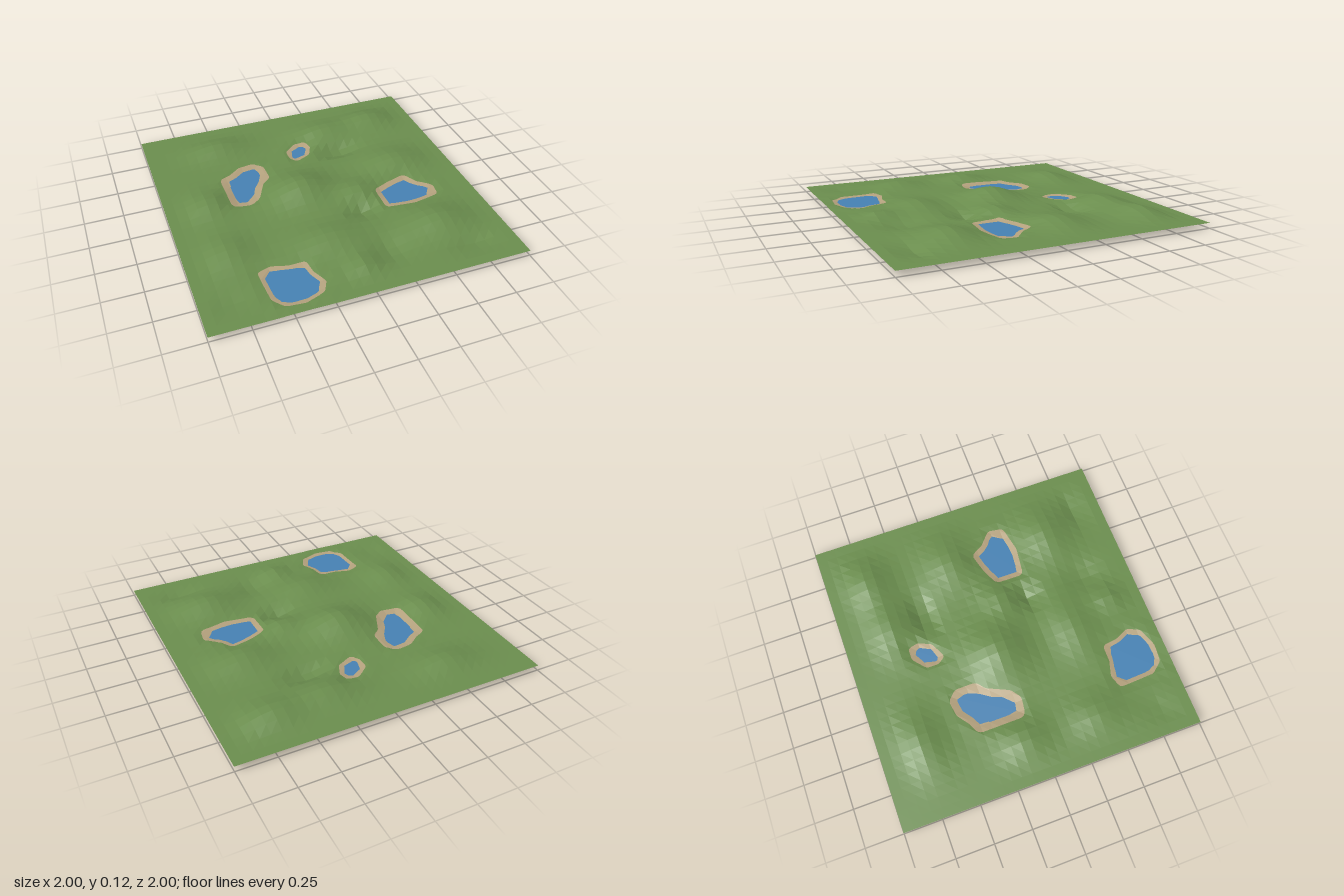
import * as THREE from 'three';

const BASE = 0.035, LEVEL = 0.028, CELLS = 30, SUB = 4;

// Each lake: width of its beach and its shoreline as [x, z] points
const LAKES = [
  { beach: 0.048, shore: [[-.40, -.41], [-.33, -.42], [-.30, -.39], [-.30, -.29], [-.35, -.25], [-.42, -.10], [-.46, -.07], [-.53, -.08], [-.53, -.33], [-.48, -.35]] },
  { beach: 0.027, shore: [[-.02, -.52], [.05, -.58], [.10, -.58], [.11, -.54], [.08, -.47], [0, -.43], [-.02, -.46]] },
  { beach: 0.036, shore: [[.40, .13], [.49, .09], [.60, .06], [.64, .13], [.72, .20], [.71, .26], [.56, .29], [.40, .27]] },
  { beach: 0.028, shore: [[-.58, .63], [-.52, .61], [-.42, .64], [-.33, .64], [-.32, .72], [-.28, .81], [-.31, .87], [-.42, .91], [-.52, .90], [-.57, .84]] },
];

// Hills and hollows: x, z, height, radius in x, radius in z
const HILLS = [
  [-.10, -.05, .085, .20, .19], [.30, -.68, .050, .20, .13], [.66, -.72, .058, .18, .14],
  [.62, -.15, .052, .20, .16], [.60, .55, .060, .20, .16], [-.10, .48, .048, .22, .15],
  [-.72, -.10, .046, .14, .16], [-.50, -.72, .048, .20, .13], [-.72, .40, .040, .14, .18],
  [.00, .78, .035, .10, .12], [.25, .08, .040, .14, .12],
  [.32, -.43, -.045, .13, .07], [.20, .27, -.040, .09, .07], [.22, .68, -.025, .10, .12],
  [-.85, .80, -.012, .10, .10], [.72, .82, -.025, .14, .07],
];

// Signed distance to an outline, negative inside
function distanceTo(outline, x, z) {
  let best = Infinity, inside = false;
  outline.forEach(([ax, az], i) => {
    const [bx, bz] = outline[(i + 1) % outline.length];
    const dx = bx - ax, dz = bz - az;
    const t = THREE.MathUtils.clamp(((x - ax) * dx + (z - az) * dz) / (dx * dx + dz * dz), 0, 1);
    best = Math.min(best, Math.hypot(x - ax - t * dx, z - az - t * dz));
    if ((az > z) !== (bz > z) && x < ax + (z - az) * dx / dz) inside = !inside;
  });
  return inside ? -best : best;
}

// Negative on lake beds and beaches, positive on grass
const sandField = (x, z) => Math.min(...LAKES.map((l) => distanceTo(l.shore, x, z) - l.beach));

function heightAt(x, z) {
  const edge = THREE.MathUtils.smoothstep(1 - Math.max(Math.abs(x), Math.abs(z)), 0, 0.22);
  let rise = 0;
  for (const [hx, hz, h, rx, rz] of HILLS) {
    rise += h * Math.exp(-(((x - hx) / rx) ** 2) - ((z - hz) / rz) ** 2);
  }
  let y = BASE + rise * edge;
  // Sink the lake basins and ease their shores into the land
  for (const { shore } of LAKES) {
    const d = distanceTo(shore, x, z);
    const t = THREE.MathUtils.smoothstep(d, 0, 0.13);
    y = THREE.MathUtils.lerp(LEVEL + 0.2 * d, y, t);
  }
  return Math.max(0, y);
}

// Part of a polygon on one side of the sand edge; each corner is { p, s }
function clip(corners, sign) {
  const out = [];
  corners.forEach((a, i) => {
    const b = corners[(i + 1) % corners.length];
    if (a.s * sign >= 0) out.push(a);
    if (a.s * b.s < 0) out.push({ p: a.p.clone().lerp(b.p, a.s / (a.s - b.s)), s: 0 });
  });
  return out;
}

function addFan(list, corners) {
  for (let i = 1; i < corners.length - 1; i++) {
    for (const c of [corners[0], corners[i], corners[i + 1]]) list.push(c.p.x, c.p.y, c.p.z);
  }
}

function facetedMesh(name, positions, material) {
  const geometry = new THREE.BufferGeometry();
  geometry.setAttribute('position', new THREE.Float32BufferAttribute(positions, 3));
  geometry.computeVertexNormals();
  const mesh = new THREE.Mesh(geometry, material);
  mesh.name = name;
  return mesh;
}

export function createModel() {
  const material = (name, color) =>
    new THREE.MeshStandardMaterial({ name, color, side: THREE.DoubleSide });
  const grass = material('grass green', 0x6b8e4e);
  const sand = material('sand', 0xb5a27e);
  const blue = material('water blue', 0x4682b4);

  const group = new THREE.Group();
  group.name = 'terrain';

  // Height grid
  const step = 2 / CELLS, grid = [];
  for (let j = 0; j <= CELLS; j++) {
    grid.push([]);
    for (let i = 0; i <= CELLS; i++) {
      const x = -1 + i * step, z = -1 + j * step;
      grid[j].push(new THREE.Vector3(x, heightAt(x, z), z));
    }
  }

  // Facets, cut finer near the lakes so the sand edge can follow the shore
  const land = [], beach = [];
  const addFacet = (a, b, c) => {
    const mid = a.clone().add(b).add(c).divideScalar(3);
    const n = sandField(mid.x, mid.z) > 0.1 ? 1 : SUB;
    const corner = (u, v) => {
      const p = a.clone().addScaledVector(b.clone().sub(a), u / n).addScaledVector(c.clone().sub(a), v / n);
      return { p, s: sandField(p.x, p.z) };
    };
    for (let u = 0; u < n; u++) {
      for (let v = 0; v < n - u; v++) {
        const pieces = [[corner(u, v), corner(u + 1, v), corner(u, v + 1)]];
        if (u + v < n - 1) pieces.push([corner(u + 1, v), corner(u + 1, v + 1), corner(u, v + 1)]);
        for (const piece of pieces) {
          addFan(land, clip(piece, 1));
          addFan(beach, clip(piece, -1));
        }
      }
    }
  };
  for (let j = 0; j < CELLS; j++) {
    for (let i = 0; i < CELLS; i++) {
      const a = grid[j][i], b = grid[j + 1][i], c = grid[j + 1][i + 1], d = grid[j][i + 1];
      addFacet(a, b, d);
      addFacet(b, c, d);
    }
  }
  group.add(facetedMesh('grassland', land, grass), facetedMesh('lakeBeds', beach, sand));

  // Flat water sheets
  LAKES.forEach(({ shore }, i) => {
    const box = new THREE.Box2().setFromPoints(shore.map(([x, z]) => new THREE.Vector2(x, z)));
    const size = box.getSize(new THREE.Vector2()), mid = box.getCenter(new THREE.Vector2());
    const sheet = new THREE.Mesh(new THREE.PlaneGeometry(size.x, size.y).rotateX(-Math.PI / 2), blue);
    sheet.position.set(mid.x, LEVEL, mid.y);
    sheet.name = `lakeWater${i + 1}`;
    group.add(sheet);
  });

  return group;
}
